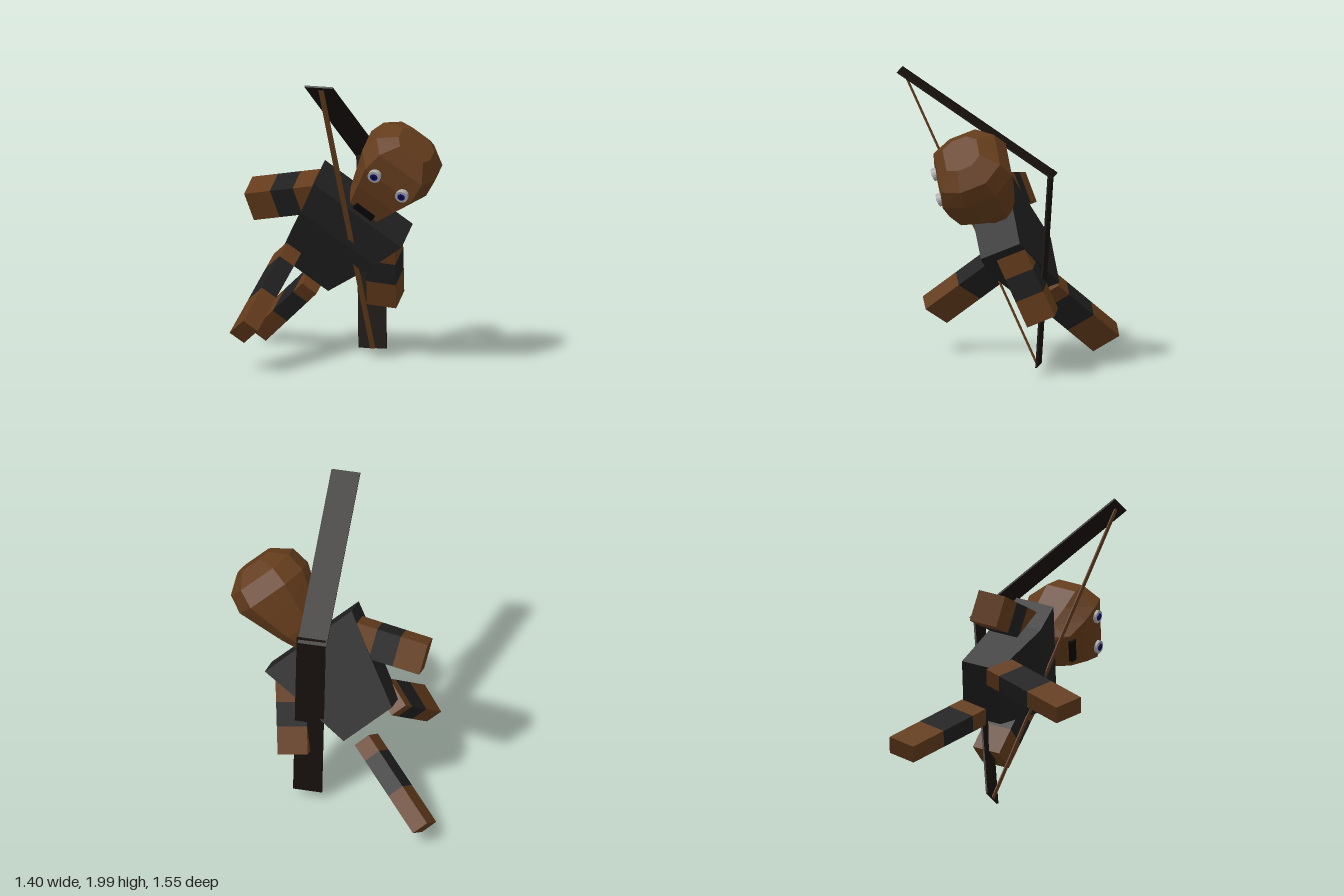
import * as THREE from 'three';

const V = (x, y, z) => new THREE.Vector3(x, y, z);
const mat = (color, side = THREE.FrontSide) =>
  new THREE.MeshStandardMaterial({ color, flatShading: true, side });
const brown = mat(0x643c1c), black = mat(0x202020), bowWood = mat(0x17110d);
const grey = mat(0xaaaaaa), navy = mat(0x0a0a80), pupilBlack = mat(0x050505);

// Body frame: side (the figure's left), up and facing direction
const side = V(0.8, -0.6, 0.02).normalize();
const up = V(-0.3, -0.4, 0.87).cross(side).normalize();
const facing = side.clone().cross(up);
const chest = V(0.138, 1.0, 0.073);

// Box running from a to b; wide along widthDir
function beam(name, a, b, widthDir, width, depth, material) {
  const y = b.clone().sub(a), length = y.length();
  y.normalize();
  const x = widthDir.clone().addScaledVector(y, -widthDir.dot(y)).normalize();
  const z = x.clone().cross(y);
  const mesh = new THREE.Mesh(new THREE.BoxGeometry(width, length, depth), material);
  mesh.quaternion.setFromRotationMatrix(new THREE.Matrix4().makeBasis(x, y, z));
  mesh.position.copy(a).lerp(b, 0.5);
  mesh.name = name;
  return mesh;
}

// Limb of three coloured bands; cuts are fractions along its length
function limb(name, a, b, widthDir, width, depth, cuts) {
  const group = new THREE.Group();
  group.name = name;
  const stops = [0, ...cuts, 1];
  ['upperBand', 'sleeve', 'end'].forEach((part, i) => group.add(beam(part,
    a.clone().lerp(b, stops[i]), a.clone().lerp(b, stops[i + 1]),
    widthDir, width, depth, part === 'sleeve' ? black : brown)));
  return group;
}

// Closed solid from rings [height, half width, back, front];
// outline holds [share of half width, share of front (+) or back (-)]
function loft(name, rings, outline, material) {
  const n = outline.length, pos = [], index = [];
  for (const [h, w, back, front] of rings)
    for (const [px, pz] of outline) pos.push(px * w, h, pz > 0 ? pz * front : -pz * back);
  for (let r = 0; r < rings.length - 1; r++)
    for (let i = 0; i < n; i++) {
      const a = r * n + i, b = r * n + (i + 1) % n;
      index.push(a, b, b + n, a, b + n, a + n);
    }
  const top = (rings.length - 1) * n;
  for (let i = 1; i < n - 1; i++) index.push(0, i + 1, i, top, top + i, top + i + 1);
  const geo = new THREE.BufferGeometry();
  geo.setAttribute('position', new THREE.Float32BufferAttribute(pos, 3));
  geo.setIndex(index);
  geo.computeVertexNormals();
  const mesh = new THREE.Mesh(geo, material);
  mesh.name = name;
  return mesh;
}

export function createModel() {
  const model = new THREE.Group();
  model.name = 'archerFigure';

  // Torso and head, built upright in the body frame
  const body = new THREE.Group();
  body.name = 'body';
  body.position.copy(chest);
  body.quaternion.setFromRotationMatrix(new THREE.Matrix4().makeBasis(side, up, facing));
  model.add(body);

  body.add(loft('torso', [
    [-0.52, 0.2, -0.13, 0.15],
    [-0.08, 0.3, -0.11, 0.21],
    [0.15, 0.36, -0.1, 0.18],
  ], [[1, 1], [1, -1], [-1, -1], [-1, 1]], black));

  body.add(loft('head', [
    [0.13, 0.1, -0.08, 0.08],
    [0.25, 0.15, -0.15, 0.24],
    [0.42, 0.21, -0.21, 0.26],
    [0.56, 0.26, -0.25, 0.255],
    [0.69, 0.24, -0.22, 0.21],
    [0.78, 0.13, -0.12, 0.12],
  ], [[0.72, 1], [1, 0.4], [1, -0.45], [0.55, -1],
    [-0.55, -1], [-1, -0.45], [-1, 0.4], [-0.72, 1]], brown));

  // Eyes: stacked discs on the flat face
  for (const s of [-1, 1]) {
    const eye = new THREE.Group();
    eye.name = s > 0 ? 'leftEye' : 'rightEye';
    [['eyeball', 0.043, 0.04, grey], ['iris', 0.025, 0.048, navy], ['pupil', 0.01, 0.054, pupilBlack]]
      .forEach(([name, radius, depth, material]) => {
        const disc = new THREE.Mesh(new THREE.CylinderGeometry(radius, radius, depth, 16), material);
        disc.rotation.x = Math.PI / 2;
        disc.name = name;
        eye.add(disc);
      });
    eye.position.set(s * 0.112, 0.563, 0.255);
    body.add(eye);
  }

  const mouth = new THREE.Mesh(new THREE.BoxGeometry(0.15, 0.045, 0.05), pupilBlack);
  mouth.name = 'mouth';
  mouth.position.set(0, 0.265, 0.235);
  body.add(mouth);

  // Arms and legs
  const armCuts = [0.285, 0.62], legCuts = [0.18, 0.58];
  model.add(
    limb('rightArm', V(-0.069, 1.157, 0.067), V(-0.503, 1.067, -0.133), facing, 0.2, 0.21, armCuts),
    limb('leftArm', V(0.345, 0.845, 0.08), V(0.365, 0.395, -0.12), facing, 0.2, 0.2, armCuts),
    limb('rightLeg', V(-0.279, 0.714, -0.062), V(-0.594, 0.287, 0.4), side, 0.117, 0.212, legCuts),
    limb('leftLeg', V(-0.09, 0.511, -0.225), V(-0.397, 0.098, -0.698), side, 0.117, 0.212, legCuts),
  );

  // Bow: two thin flat limbs and a straight string
  const bow = new THREE.Group();
  bow.name = 'bow';
  const across = V(0.93, 0, 0.36);
  bow.add(
    beam('upperBowLimb', V(0.27, 1.32, -0.22), V(-0.12, 1.995, 0.735), across, 0.193, 0.012, bowWood),
    beam('lowerBowLimb', V(0.28, 0.06, -0.11), V(0.27, 1.35, -0.195), across, 0.193, 0.012, bowWood),
    beam('bowString', V(0.28, 0.06, -0.105), V(-0.105, 1.98, 0.71), across, 0.035, 0.008, brown),
  );
  model.add(bow);
  return model;
}
